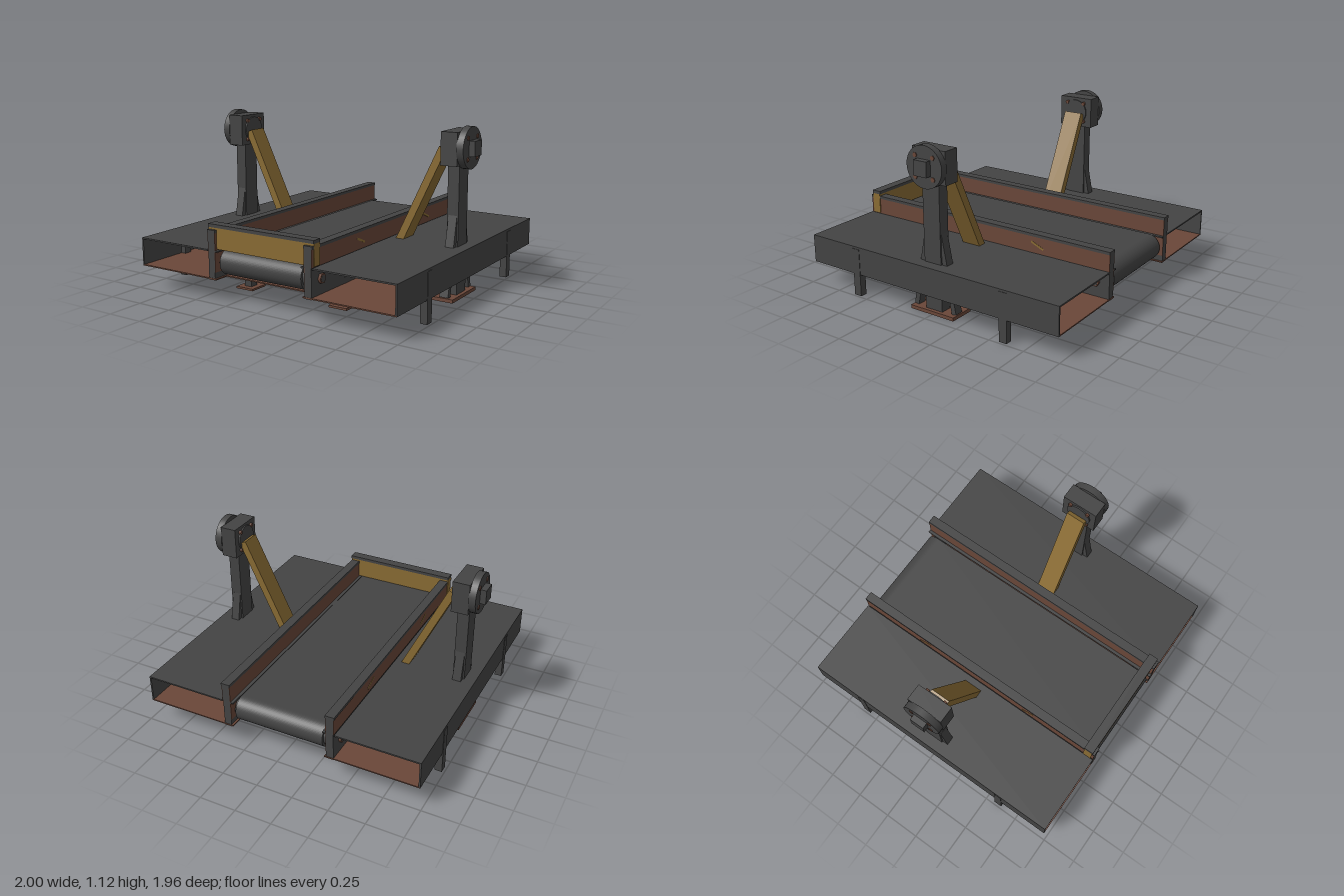
import * as THREE from 'three';

const mat = (name, color) => {
  const m = new THREE.MeshStandardMaterial({ color });
  m.name = name;
  return m;
};

export function createModel() {
  const dark = mat('dark steel', 0x444444);
  const brown = mat('rust brown', 0x6a4739);
  const mustard = mat('mustard paint', 0x8a6c34);
  const model = new THREE.Group();
  model.name = 'conveyorStation';

  const add = (name, geo, material, x = 0, y = 0, z = 0) => {
    const mesh = new THREE.Mesh(geo, material);
    mesh.name = name;
    mesh.position.set(x, y, z);
    model.add(mesh);
    return mesh;
  };
  // Box from its limits; s mirrors it across x
  const box = (name, material, s, x0, x1, y0, y1, z0, z1) =>
    add(name, new THREE.BoxGeometry(x1 - x0, y1 - y0, z1 - z0), material,
      s * (x0 + x1) / 2, (y0 + y1) / 2, (z0 + z1) / 2);
  // Cylinder lying along x
  const rod = (name, material, r, x0, x1, s, y, z, sides = 24) =>
    add(name, new THREE.CylinderGeometry(r, r, x1 - x0, sides).rotateZ(Math.PI / 2),
      material, s * (x0 + x1) / 2, y, z);

  // Belt: a stadium profile looped around the two end rollers
  const R = 0.087, E = 0.882, beltY = 0.262;
  const loop = new THREE.Shape();
  loop.absarc(E, 0, R, -Math.PI / 2, Math.PI / 2, false);
  loop.absarc(-E, 0, R, Math.PI / 2, Math.PI * 1.5, false);
  loop.closePath();
  const beltGeo = new THREE.ExtrudeGeometry(loop, { depth: 0.63, bevelEnabled: false, curveSegments: 16 });
  beltGeo.translate(0, 0, -0.315).rotateY(Math.PI / 2);
  add('belt', beltGeo, dark, 0, beltY, 0);

  // Under-belt floor
  box('centreFloor', brown, 1, -0.345, 0.345, 0.152, 0.16, -0.88, 0.88);

  // End gate across the belt
  box('endGate', mustard, 1, -0.408, 0.408, 0.35, 0.49, 0.9, 0.96);
  box('gateCap', dark, 1, -0.408, 0.408, 0.49, 0.512, 0.897, 0.965);

  // Cross bars between the inner legs
  for (const z of [-0.59, 0.59]) {
    box('crossBar', dark, 1, -0.345, 0.345, 0.078, 0.115, z - 0.025, z + 0.025);
    box('crossBarStrip', brown, 1, -0.345, 0.345, 0.07, 0.078, z - 0.02, z + 0.02);
  }

  for (const s of [-1, 1]) {
    // Hollow deck, open at both ends
    box('deckTop', dark, s, 0.405, 0.98, 0.335, 0.345, -0.98, 0.98);
    box('deckFloor', brown, s, 0.335, 0.98, 0.152, 0.16, -0.98, 0.98);
    box('deckSide', dark, s, 0.97, 0.981, 0.152, 0.345, -0.98, 0.98);

    // Guard rail with painted sides and a cap
    box('rail', dark, s, 0.348, 0.398, 0.148, 0.46, -0.978, 0.978);
    box('railOuterPanel', brown, s, 0.398, 0.402, 0.345, 0.457, -0.978, 0.978);
    box('railInnerPanel', brown, s, 0.344, 0.348, 0.2, 0.457, -0.978, 0.978);
    box('railCap', dark, s, 0.342, 0.405, 0.457, 0.476, -0.98, 0.98);
    box('railSill', dark, s, 0.322, 0.346, 0.335, 0.344, -0.98, 0.98);

    // Roller shafts and nuts
    for (const z of [-E, E]) {
      rod('rollerHub', dark, 0.07, 0.31, 0.33, s, beltY, z);
      rod('rollerShaft', dark, 0.022, 0.32, 0.42, s, beltY, z, 12);
      rod('shaftNut', brown, 0.032, 0.4, 0.418, s, beltY, z, 6);
    }

    // Legs
    for (const z of [-0.59, 0.59]) {
      box('innerLeg', dark, s, 0.345, 0.4, 0.012, 0.2, z - 0.03, z + 0.03);
      box('footPlate', brown, s, 0.305, 0.44, 0, 0.014, z - 0.07, z + 0.07);
      box('outerLeg', dark, s, 0.935, 0.984, 0, 0.33, z - 0.028, z + 0.028);
    }

    // Column with splayed braces
    box('columnBase', brown, s, 0.75, 0.93, 0, 0.024, -0.172, 0.172);
    box('column', dark, s, 0.825, 0.905, 0.024, 0.9, -0.065, 0.065);
    for (const side of [-1, 1]) {
      const brace = box('columnBrace', dark, s, 0.835, 0.895, 0.02, 0.55, -0.017, 0.017);
      brace.position.z = side * 0.1;
      brace.rotation.x = -side * Math.atan2(0.105, 0.53);
    }

    // Pivot head
    box('headBlock', dark, s, 0.8, 0.915, 0.876, 1.092, -0.128, 0.128);
    rod('headDisc', dark, 0.137, 0.912, 0.96, s, 0.985, 0, 32);
    box('shaftEnd', dark, s, 0.955, 1.0, 0.935, 1.035, -0.05, 0.05);
    rod('innerFlange', dark, 0.09, 0.79, 0.805, s, 0.985, 0);
    for (const y of [-0.068, 0.068]) for (const z of [-0.068, 0.068]) {
      rod('discBolt', brown, 0.016, 0.95, 0.965, s, 0.985 + y, z, 6);
      rod('flangeBolt', brown, 0.014, 0.784, 0.802, s, 0.985 + y, z, 6);
    }

    // Slanting arm and its lower bracket
    const arm = add('arm', new THREE.BoxGeometry(0.052, 0.79, 0.136), mustard, s * 0.612, 0.62, 0);
    arm.rotation.z = -s * Math.atan2(0.33, 0.69);
    box('armBracket', mustard, s, 0.404, 0.472, 0.165, 0.3, -0.068, 0.068);
    for (const z of [-0.09, 0.09])
      rod('bracketBolt', brown, 0.025, 0.4, 0.42, s, 0.275, z, 6);

    // Small direction marks on the rail
    for (const z of [-0.45, 0.43]) {
      const mark = box('directionMark', mustard, s, 0.4, 0.404, 0, 0.014, -0.05, 0.05);
      mark.position.set(s * 0.402, 0.4, z);
      mark.rotation.x = -0.4;
    }
  }
  return model;
}
